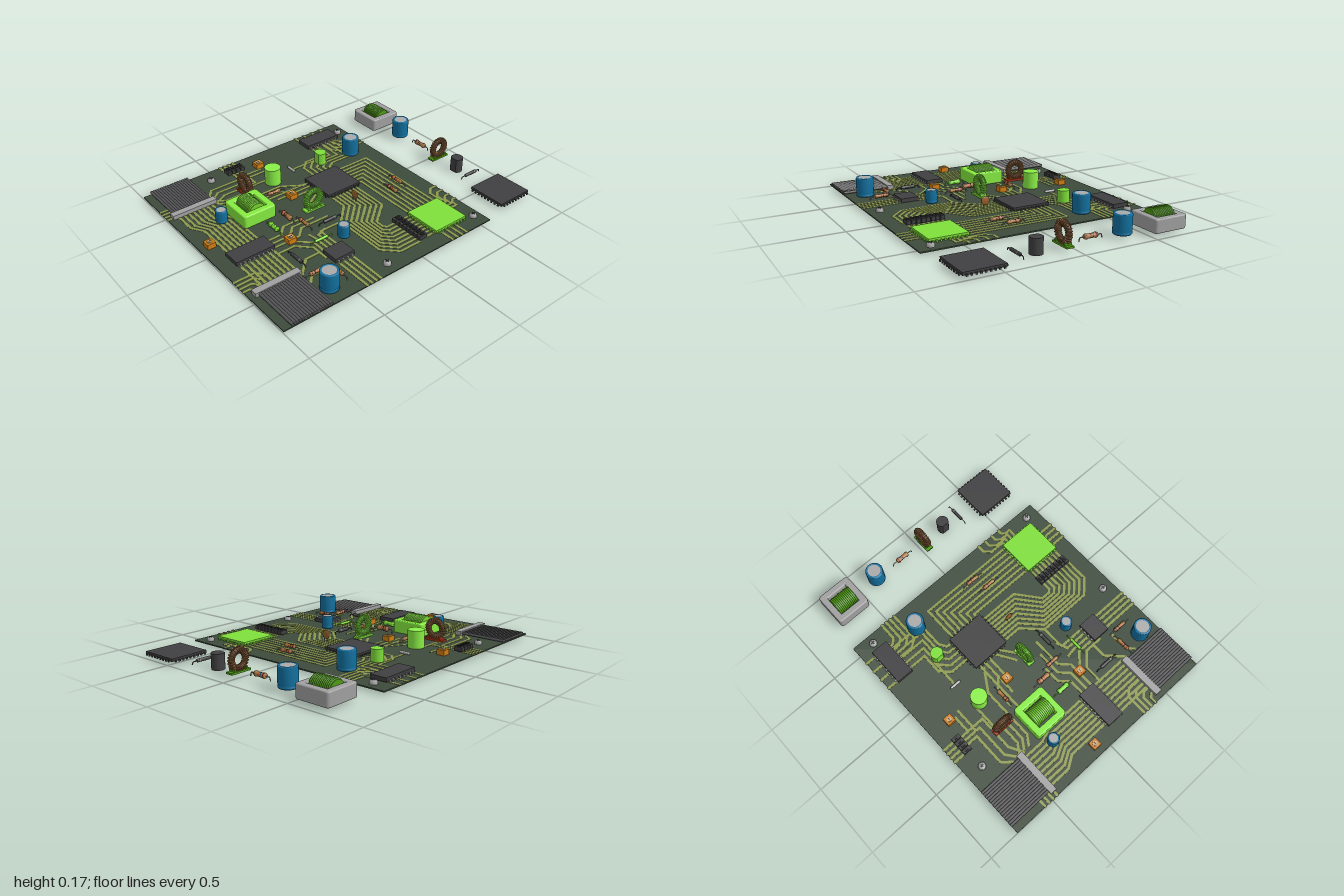
import * as THREE from 'three';
import { mergeGeometries } from 'three/addons/utils/BufferGeometryUtils.js';

const mats = {};
const mat = (c) => (mats[c] ??= new THREE.MeshStandardMaterial({ color: c, side: THREE.DoubleSide }));
const DARK = 0x404042, GREEN = 0x7fe03a, GREY = 0xa0a0a0, BLUE = 0x12709f, BROWN = 0x8f6038, COIL = 0x4f9a14;
const TOP = 0.018; // upper face of the board

const box = (w, h, d, x, y, z) => new THREE.BoxGeometry(w, h, d).translate(x, y, z);
const cyl = (r, h, x, y, z, n = 24) => new THREE.CylinderGeometry(r, r, h, n).translate(x, y, z);

export function createModel() {
  const root = new THREE.Group();
  const part = (name, x = 0, z = 0, y = 0, turn = 0) => {
    const g = new THREE.Group();
    g.name = name;
    g.position.set(x, y, z);
    g.rotation.y = turn;
    root.add(g);
    return g;
  };
  const add = (g, name, color, ...geos) => {
    const m = new THREE.Mesh(geos.length > 1 ? mergeGeometries(geos) : geos[0], mat(color));
    m.name = name;
    g.add(m);
    return m;
  };

  // Board
  const board = part('circuitBoard');
  add(board, 'boardPlate', 0x3d4b3c, box(1.57, 0.008, 1.57, -0.215, TOP - 0.004, -0.005));

  // Copper tracks: n lines blended between two edge paths, in hundredths
  const tracks = [];
  const bundle = (n, a, b = a) => {
    for (let i = 0; i < n; i++) {
      const t = n > 1 ? i / (n - 1) : 0;
      const p = a.map((v, k) => (v + (b[k] - v) * t) / 100);
      for (let k = 0; k + 3 < p.length; k += 2) {
        const dx = p[k + 2] - p[k], dz = p[k + 3] - p[k + 1];
        tracks.push(new THREE.BoxGeometry(Math.hypot(dx, dz) + 0.012, 0.002, 0.016)
          .rotateY(-Math.atan2(dz, dx)).translate(p[k] + dx / 2, TOP + 0.001, p[k + 1] + dz / 2));
      }
    }
  };
  bundle(8, [-93, -44, -93, -30, -88, -22, -88, 7], [-70, -44, -70, -30, -67, -22, -67, 7]);
  bundle(8, [-89, 19, -89, 44], [-66, 19, -66, 44]);
  bundle(4, [-100, -56, -94, -56], [-100, -46, -96, -46]);
  bundle(4, [-100, 30, -86, 30, -82, 34, -82, 44], [-100, 40, -96, 40, -94, 42, -94, 44]);
  bundle(3, [-67, -52, -62, -58, -40, -58, -40, -66], [-67, -43, -58, -48, -34, -48, -34, -66]);
  bundle(4, [-43, -79, -43, -71], [-33, -79, -33, -71]);
  bundle(2, [-34, -66, -34, -60, -22, -60], [-37, -66, -37, -56, -20, -56]);
  bundle(3, [-66, -38, -60, -34, -48, -34], [-66, -46, -60, -42, -48, -42]);
  bundle(2, [-44, -46, -24, -46, -24, -42], [-44, -34, -24, -34, -10, -25]);
  bundle(3, [-45, -26, -7, -26], [-22, -18, -7, -18]);
  bundle(2, [-40, -29, -28, -29, -20, -22, -7, -22]);
  bundle(4, [21, -79, 21, -72], [43, -79, 43, -72]);
  bundle(5, [22, -60, 22, -48, 8, -48, 2, -42, 2, -29], [40, -60, 40, -36, 22, -36, 17, -33, 17, -29]);
  bundle(4, [57, -55, 45, -55, 42, -58, 42, -60], [57, -45, 36, -45, 32, -50, 32, -60]);
  bundle(1, [-4, -46, 14, -46]);
  bundle(8, [-5, -3, -5, 10, -17, 22, -17, 58, -8, 67, 7, 67], [15, -3, 15, 24, 0, 36, 0, 42, 2, 44, 7, 44]);
  bundle(7, [19, -26, 44, -26, 44, 42], [19, -5, 22, -5, 22, 42]);
  bundle(8, [13, 44, 20, 44], [13, 66, 20, 66]);
  bundle(4, [57, 30, 52, 30, 48, 34, 48, 44, 46, 44], [57, 48, 54, 48, 52, 50, 52, 54, 46, 54]);
  bundle(4, [24, 68, 24, 78], [36, 68, 36, 78]);
  bundle(4, [-43, 52, -43, 78], [-33, 52, -33, 78]);
  bundle(4, [-43, 40, -43, 28, -52, 20], [-33, 40, -33, 22, -18, 22]);
  bundle(3, [-64, 10, -54, 10, -48, 4, -36, 4], [-64, 18, -46, 18, -40, 12, -20, 12]);
  bundle(2, [-66, 48, -56, 38, -46, 38], [-66, 56, -62, 52, -49, 52, -49, 66]);
  bundle(2, [-20, 0, -7, -10], [-20, -6, -7, -14]);
  bundle(1, [-66, 24, -54, 24, -46, 32, -46, 44]);
  add(board, 'copperTracks', 0x8e9a4c, ...tracks);

  // Ribbon cables with clamp bars
  for (const [s, end, bar] of [[-1, -0.792, -0.463], [1, 0.782, 0.455]]) {
    const g = part('ribbonCable'), wires = [];
    const len = Math.abs(end - bar);
    for (let i = 0; i < 16; i++)
      wires.push(new THREE.CylinderGeometry(0.0095, 0.0095, len, 8).rotateX(Math.PI / 2)
        .translate(-0.942 + i * 0.0172, TOP + 0.013, (end + bar) / 2));
    add(g, 'ribbonWires', 0x58585a, ...wires);
    add(g, 'clampBar', GREY, box(0.31, 0.028, 0.045, -0.815, TOP + 0.014, bar));
  }

  // Screws: domed head with a cross slot
  for (const [x, z] of [[-0.56, -0.68], [0.51, -0.67], [0.51, 0.69], [-0.22, 0.705]]) {
    const g = part('screw', x, z, TOP);
    add(g, 'screwHead', GREY, new THREE.LatheGeometry([[0.025, 0], [0.025, 0.012], [0.018, 0.022], [0, 0.026]]
      .map((p) => new THREE.Vector2(...p)), 18));
    add(g, 'screwSlot', DARK, box(0.024, 0.004, 0.006, 0, 0.025, 0), box(0.006, 0.004, 0.024, 0, 0.025, 0));
  }

  // Chips: long-side pins, optionally on all four sides
  const chip = (name, x, z, w, d, h, color, nx, nz, pin = color) => {
    const g = part(name, x, z, TOP), pins = [];
    add(g, 'chipBody', color, box(w, h, d, 0, 0.004 + h / 2, 0));
    for (const s of [-1, 1]) {
      for (let i = 0; i < nx; i++) {
        const px = (i + 0.5) / nx * w * 0.94 - w * 0.47;
        pins.push(box(0.012, 0.005, 0.014, px, h * 0.5, s * (d / 2 + 0.004)),
          box(0.012, h * 0.5, 0.005, px, h * 0.25, s * (d / 2 + 0.009)));
      }
      for (let i = 0; i < nz; i++) {
        const pz = (i + 0.5) / nz * d * 0.94 - d * 0.47;
        pins.push(box(0.014, 0.005, 0.012, s * (w / 2 + 0.004), h * 0.5, pz),
          box(0.005, h * 0.5, 0.012, s * (w / 2 + 0.009), h * 0.25, pz));
      }
    }
    add(g, 'chipPins', pin, ...pins);
  };
  chip('backChip', 0.325, -0.66, 0.265, 0.115, 0.026, DARK, 8, 0, GREY);
  chip('leftChip', -0.777, 0.13, 0.265, 0.12, 0.026, DARK, 8, 0, GREY);
  chip('smallChip', -0.38, 0.46, 0.14, 0.12, 0.026, DARK, 4, 0, GREY);
  chip('processor', 0.06, -0.16, 0.26, 0.26, 0.018, DARK, 9, 9);
  chip('greenProcessor', 0.33, 0.55, 0.255, 0.255, 0.018, GREEN, 9, 9);
  chip('looseProcessor', 0.853, 0.605, 0.26, 0.26, 0.018, DARK, 9, 9);

  // Rows of small dark blocks
  const row = (n, x, z, dx, dz, w, d) => {
    const g = part('blockRow', x, z, TOP), b = [], c = [];
    for (let i = 0; i < n; i++) {
      b.push(box(w, 0.026, d, i * dx, 0.019, i * dz));
      c.push(box(w * 0.45, 0.012, d * 0.45, i * dx, 0.034, i * dz), box(w * 0.3, 0.008, d * 0.3, i * dx, 0.004, i * dz));
    }
    add(g, 'blocks', DARK, ...b);
    add(g, 'blockCaps', 0x2c2c2e, ...c);
  };
  row(4, -0.425, -0.685, 0.033, 0, 0.027, 0.058);
  row(8, 0.102, 0.435, 0, 0.0315, 0.06, 0.026);

  // Trimmers
  for (const [x, z] of [[-0.21, -0.64], [-0.25, -0.19], [-0.93, -0.075], [-0.53, 0.185]]) {
    const g = part('trimmer', x, z, TOP);
    add(g, 'trimmerBody', 0xcf7c14, box(0.056, 0.034, 0.056, 0, 0.017, 0));
    add(g, 'trimmerDial', 0xc9b48c, cyl(0.016, 0.006, 0, 0.036, 0, 16));
    add(g, 'trimmerSlot', 0x6a4010, box(0.022, 0.003, 0.005, 0, 0.039, 0));
  }

  // Can capacitors with a rolled rim and a recessed grey lid
  for (const [x, z, r, h] of [[0.405, -0.39, 0.058, 0.127], [-0.605, 0.66, 0.058, 0.127], [-0.74, -0.25, 0.038, 0.086],
    [-0.243, 0.338, 0.038, 0.086], [0.853, -0.36, 0.058, 0.127]]) {
    const g = part('canCapacitor', x, z, TOP);
    const prof = [[0, 0], [r * 0.93, 0], [r, 0.005], [r, 0.014], [r * 0.93, 0.019], [r, 0.024], [r, h - 0.006], [r * 0.94, h], [r * 0.74, h], [r * 0.72, h - 0.004]];
    add(g, 'capacitorCan', BLUE, new THREE.LatheGeometry(prof.map((p) => new THREE.Vector2(...p)), 32));
    add(g, 'capacitorLid', 0xaaaaaa, cyl(r * 0.74, 0.004, 0, h - 0.004, 0, 32));
  }

  // Green drum and flat-sided transistors
  add(part('greenDrum', -0.24, -0.417, TOP), 'drumBody', 0x8af046, cyl(0.054, 0.115, 0, 0.0575, 0, 32));
  for (const [x, z, c] of [[0.16, -0.42, GREEN], [0.846, 0.22, DARK]]) {
    const s = new THREE.Shape().absarc(0, 0, 0.041, -2.5, 2.5, false);
    s.closePath();
    add(part('transistor', x, z), 'transistorBody', c,
      new THREE.ExtrudeGeometry(s, { depth: 0.1, bevelEnabled: false, curveSegments: 28 }).rotateX(-Math.PI / 2));
  }

  // Framed coils
  const roundRect = (C, h, r) => {
    const s = new C();
    [[1, -1, -0.5], [1, 1, 0], [-1, 1, 0.5], [-1, -1, 1]].forEach(([a, b, t]) =>
      s.absarc(a * (h - r), b * (h - r), r, t * Math.PI, (t + 0.5) * Math.PI, false));
    s.closePath();
    return s;
  };
  for (const [x, z, frame, coil] of [[-0.56, -0.197, 0x86ec40, 0x74d030], [0.848, -0.63, GREY, COIL]]) {
    const g = part('framedCoil', x, z, TOP);
    const s = roundRect(THREE.Shape, 0.109, 0.012);
    s.holes.push(roundRect(THREE.Path, 0.081, 0.01));
    add(g, 'coilFrame', frame, new THREE.ExtrudeGeometry(s, { depth: 0.072, bevelSize: 0.008, bevelThickness: 0.008, bevelSegments: 3, curveSegments: 5 })
      .rotateX(-Math.PI / 2).translate(0, 0.008, 0));
    const rings = [new THREE.CylinderGeometry(0.056, 0.056, 0.15, 28).rotateX(Math.PI / 2).translate(0, 0.062, 0)];
    for (let i = 0; i < 12; i++) rings.push(new THREE.TorusGeometry(0.055, 0.0065, 6, 32).translate(0, 0.062, (i - 5.5) * 0.0118));
    add(g, 'coilWinding', coil, ...rings);
  }

  // Upright ring coils on a foot
  for (const [x, z, turn, coil, core, foot] of [[-0.457, -0.417, Math.PI / 2, BROWN, 0x6a4a32, 0xb03418],
    [-0.215, -0.005, 0, GREEN, 0x5cb428, GREEN], [0.845, 0.043, 0, BROWN, 0x6a4a32, COIL]]) {
    const g = part('ringCoil', x, z, TOP, turn), turns = [];
    add(g, 'ringCore', core, new THREE.TorusGeometry(0.054, 0.016, 10, 40).translate(0, 0.077, 0));
    for (let i = 0; i < 24; i++)
      turns.push(new THREE.TorusGeometry(0.018, 0.0048, 6, 14).rotateX(Math.PI / 2).translate(0.054, 0, 0)
        .rotateZ(i / 24 * Math.PI * 2).translate(0, 0.077, 0));
    add(g, 'ringWinding', coil, ...turns);
    add(g, 'ringFoot', foot, box(0.145, 0.012, 0.05, 0, 0.006, 0), box(0.012, 0.03, 0.046, -0.045, 0.015, 0), box(0.012, 0.03, 0.046, 0.045, 0.015, 0));
  }

  // Axial parts: bodies lying along local x on bent wire leads
  const axial = (name, x, z, alongZ, len, r, body, bands, lead = GREY) => {
    const g = part(name, x, z, TOP, alongZ ? -Math.PI / 2 : 0);
    const y = 0.006 + r, b = len * 0.28;
    const prof = bands.length > 1
      ? [[0, -b], [r * 0.8, -b], [r, -b * 0.85], [r, -b * 0.6], [r * 0.82, -b * 0.45], [r * 0.82, b * 0.45], [r, b * 0.6], [r, b * 0.85], [r * 0.8, b], [0, b]]
      : [[0, -b], [r, -b], [r, b], [0, b]];
    add(g, 'axialBody', body, new THREE.LatheGeometry(prof.map((p) => new THREE.Vector2(...p)), 14).rotateZ(-Math.PI / 2).translate(0, y, 0));
    bands.forEach((c, i) => {
      const t = bands.length > 1 ? [-0.72, -0.25, 0.08, 0.72][i] : 0.65;
      const k = Math.abs(t) > 0.5 ? 1.05 : 0.88;
      add(g, 'colourBand', c, new THREE.CylinderGeometry(r * k, r * k, b * 0.16, 14).rotateZ(Math.PI / 2).translate(t * b, y, 0));
    });
    const e = len / 2, path = new THREE.CurvePath();
    const pts = [[-e, 0], [-e + 0.006, y], [e - 0.006, y], [e, 0]].map(([a, c]) => new THREE.Vector3(a, c, 0));
    for (let i = 0; i < 3; i++) path.add(new THREE.LineCurve3(pts[i], pts[i + 1]));
    add(g, 'wireLead', lead, new THREE.TubeGeometry(path, 24, 0.0035, 6));
  };
  const bands = [0x8c2a14, 0x3a2a20, 0xc04a18, 0x9a7a30];
  for (const [x, z, v, r = 0.013] of [[-0.32, -0.287, 0], [-0.59, 0.52, 0], [-0.41, -0.02, 1, 0.017], [-0.365, 0.1, 1],
    [-0.487, 0.59, 1], [0.31, 0.16, 1], [0.405, 0.1, 1]])
    axial('resistor', x, z, v, 0.16, r, 0xb07a4c, bands);
  axial('looseResistor', 0.848, -0.14, 1, 0.16, 0.017, 0xb07a4c, [0x8c2a14, BLUE, 0xc04a18, 0x9a7a30]);
  axial('greenResistor', -0.54, 0.027, 1, 0.15, 0.017, GREEN, [GREEN, GREEN, GREEN, GREEN], GREEN);
  axial('diode', -0.22, 0.172, 0, 0.17, 0.011, DARK, [0x808080], 0x505050);
  axial('diode', -0.605, 0.353, 1, 0.17, 0.011, DARK, [0x808080], 0x505050);
  axial('looseDiode', 0.848, 0.35, 0, 0.17, 0.011, DARK, [0x808080], 0x606060);
  axial('greenDiode', -0.38, 0.295, 0, 0.16, 0.009, GREEN, [GREEN], GREEN);

  // Disc capacitor on two legs
  const disc = part('discCapacitor', 0.042, 0.095, TOP);
  add(disc, 'disc', 0x96602c, new THREE.SphereGeometry(0.03, 20, 14).scale(0.3, 1, 1).translate(0, 0.05, 0));
  add(disc, 'discLegs', GREY, cyl(0.003, 0.034, 0, 0.017, -0.014, 6), cyl(0.003, 0.034, 0, 0.017, 0.014, 6));

  // Crystal can lying flat
  const crystal = part('crystal', -0.06, -0.46, TOP);
  add(crystal, 'crystalCan', 0xb4b4b4, new THREE.CapsuleGeometry(0.009, 0.062, 4, 12).rotateX(Math.PI / 2).translate(0, 0.01, 0));

  return root;
}
